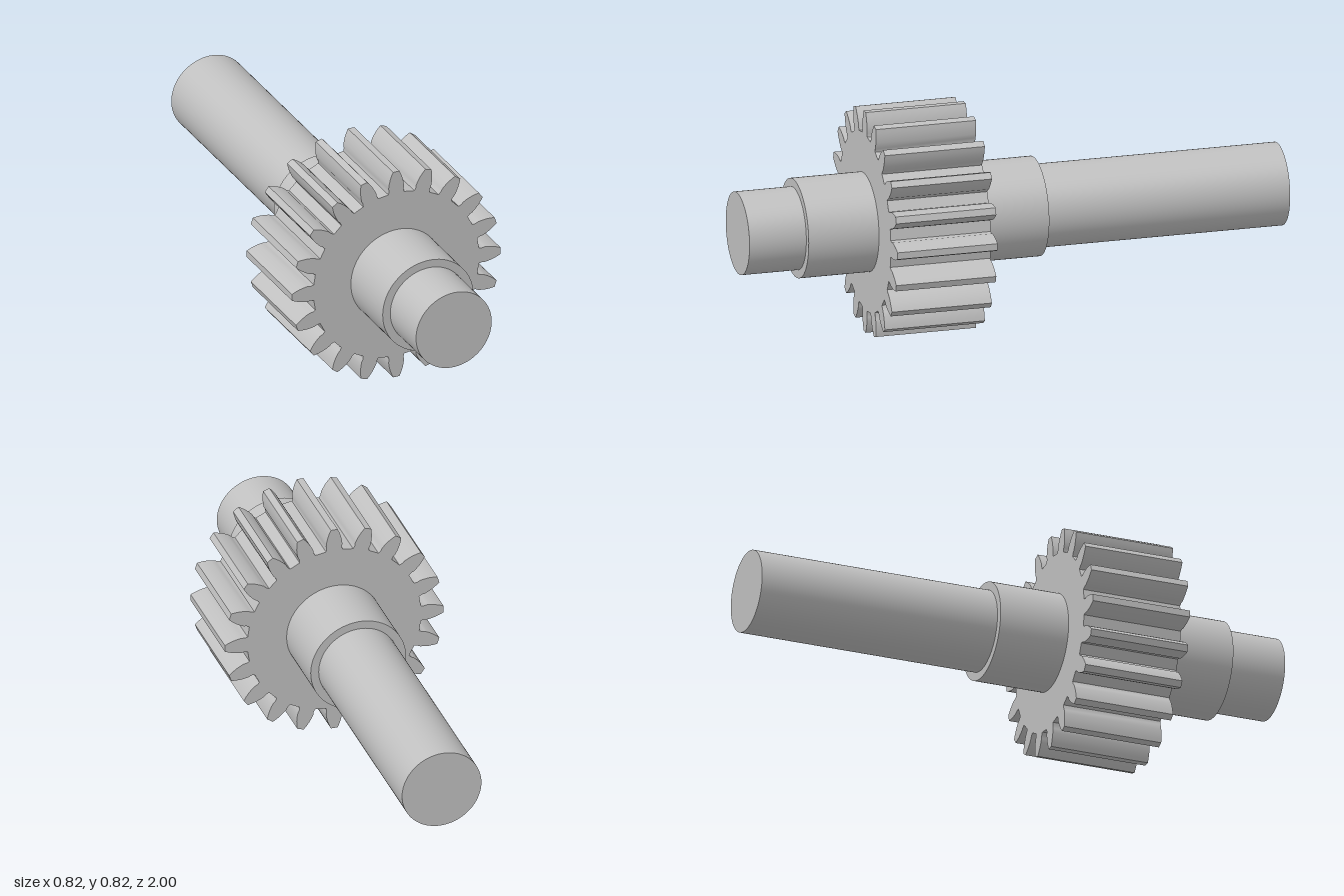
import * as THREE from 'three';
import { toCreasedNormals } from 'three/addons/utils/BufferGeometryUtils.js';

const AXIS_Y = 0.411;
const TEETH = 20;
const SHAFT_R = 0.149;
const COLLAR_R = 0.179;

// One side of a tooth, root to tip: [half width, radius]
const FLANK = [
  [0.031, 0.325], [0.0285, 0.337], [0.0305, 0.348], [0.0285, 0.363],
  [0.0245, 0.381], [0.0185, 0.398], [0.0125, 0.411],
];

// Toothed outline with a bore that fits the collar
function gearShape() {
  const tooth = [
    ...FLANK.map(([w, r]) => new THREE.Vector2(w, r)),
    ...FLANK.map(([w, r]) => new THREE.Vector2(-w, r)).reverse(),
  ];
  const outline = [];
  const origin = new THREE.Vector2();
  for (let i = 0; i < TEETH; i++) {
    const angle = (i / TEETH) * Math.PI * 2;
    tooth.forEach((p) => outline.push(p.clone().rotateAround(origin, angle)));
  }
  const shape = new THREE.Shape(outline);
  shape.holes.push(new THREE.Path().absarc(0, 0, COLLAR_R, 0, Math.PI * 2, true));
  return shape;
}

export function createModel() {
  const steel = new THREE.MeshStandardMaterial({ color: 0xc0c0c0 });
  steel.name = 'steel grey';

  const group = new THREE.Group();
  group.name = 'gearShaft';

  // Stepped shaft: long rear journal, collar, short front journal
  const profile = [
    [0, -1], [SHAFT_R, -1], [SHAFT_R, -0.1], [COLLAR_R, -0.1],
    [COLLAR_R, 0.79], [SHAFT_R, 0.79], [SHAFT_R, 1], [0, 1],
  ].map(([r, z]) => new THREE.Vector2(r, z));
  const shaftGeometry = new THREE.LatheGeometry(profile, 72).rotateX(Math.PI / 2);
  const shaft = new THREE.Mesh(toCreasedNormals(shaftGeometry, 0.5), steel);
  shaft.name = 'steppedShaft';
  shaft.position.y = AXIS_Y;
  group.add(shaft);

  // Spur gear around the collar
  const gearGeometry = new THREE.ExtrudeGeometry(gearShape(), {
    depth: 0.37, bevelEnabled: false, curveSegments: 36,
  });
  const gear = new THREE.Mesh(toCreasedNormals(gearGeometry, 0.4), steel);
  gear.name = 'spurGear';
  gear.position.set(0, AXIS_Y, 0.16);
  group.add(gear);

  return group;
}
